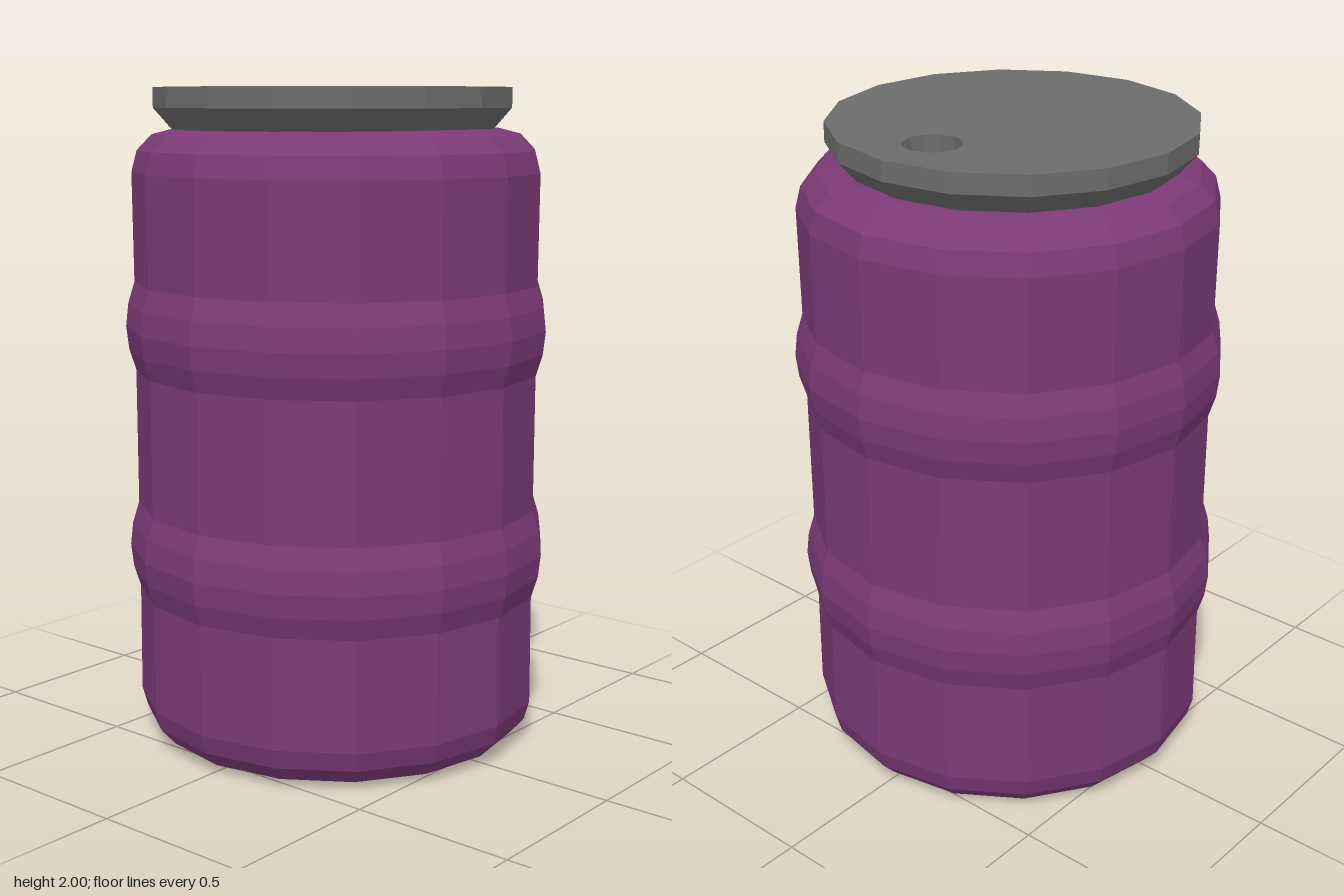
import * as THREE from 'three';

const SIDES = 16;

function lathe(name, profile, sides, material) {
  const points = profile.map(([r, y]) => new THREE.Vector2(r, y));
  const mesh = new THREE.Mesh(new THREE.LatheGeometry(points, sides), material);
  mesh.name = name;
  return mesh;
}

function ring(PathType, radius, sides, cx = 0) {
  const points = [];
  for (let i = 0; i < sides; i++) {
    const a = (i / sides) * Math.PI * 2;
    points.push(new THREE.Vector2(cx + Math.cos(a) * radius, Math.sin(a) * radius));
  }
  return new PathType(points);
}

// Rounded swelling around the barrel, centred at height y
const hoop = (y) => [[0.62, y - 0.135], [0.64, y - 0.07], [0.648, y], [0.64, y + 0.07], [0.62, y + 0.135]];

export function createModel() {
  const purple = new THREE.MeshStandardMaterial({ color: 0x7c3a78, flatShading: true });
  const grey = new THREE.MeshStandardMaterial({ color: 0x6c6c6c, flatShading: true });
  const model = new THREE.Group();
  model.name = 'barrel';

  // Closed barrel with rounded ends and two hoops
  model.add(lathe('barrelBody', [
    [0, 0], [0.49, 0], [0.56, 0.02], [0.605, 0.07], [0.622, 0.13],
    ...hoop(0.6), ...hoop(1.285),
    [0.622, 1.75], [0.605, 1.815], [0.56, 1.862], [0.49, 1.88], [0, 1.88],
  ], SIDES, purple));

  // Lid sits slightly off centre
  const lid = new THREE.Group();
  lid.name = 'lid';
  lid.position.x = -0.017;
  lid.add(lathe('lidRim', [[0.47, 1.86], [0.49, 1.88], [0.542, 1.94], [0.542, 2]], SIDES, grey));

  // Lid top with the bung opening
  const holeX = 0.342, holeR = 0.086, holeSides = 12;
  const shape = ring(THREE.Shape, 0.542, SIDES);
  shape.holes.push(ring(THREE.Path, holeR, holeSides, holeX));
  const top = new THREE.Mesh(new THREE.ShapeGeometry(shape).rotateX(-Math.PI / 2), grey);
  top.name = 'lidTop';
  top.position.y = 2;
  lid.add(top);

  // Recess wall and floor, leaning slightly inward
  const recess = lathe('bungRecess',
    [[holeR, 0], [0.076, -0.075], [0.055, -0.1], [0, -0.105]], holeSides, grey);
  const pos = recess.geometry.attributes.position;
  for (let i = 0; i < pos.count; i++) pos.setX(i, pos.getX(i) + pos.getY(i) * 0.14);
  recess.geometry.computeVertexNormals();
  recess.position.set(holeX, 2, 0);
  lid.add(recess);

  model.add(lid);
  return model;
}
